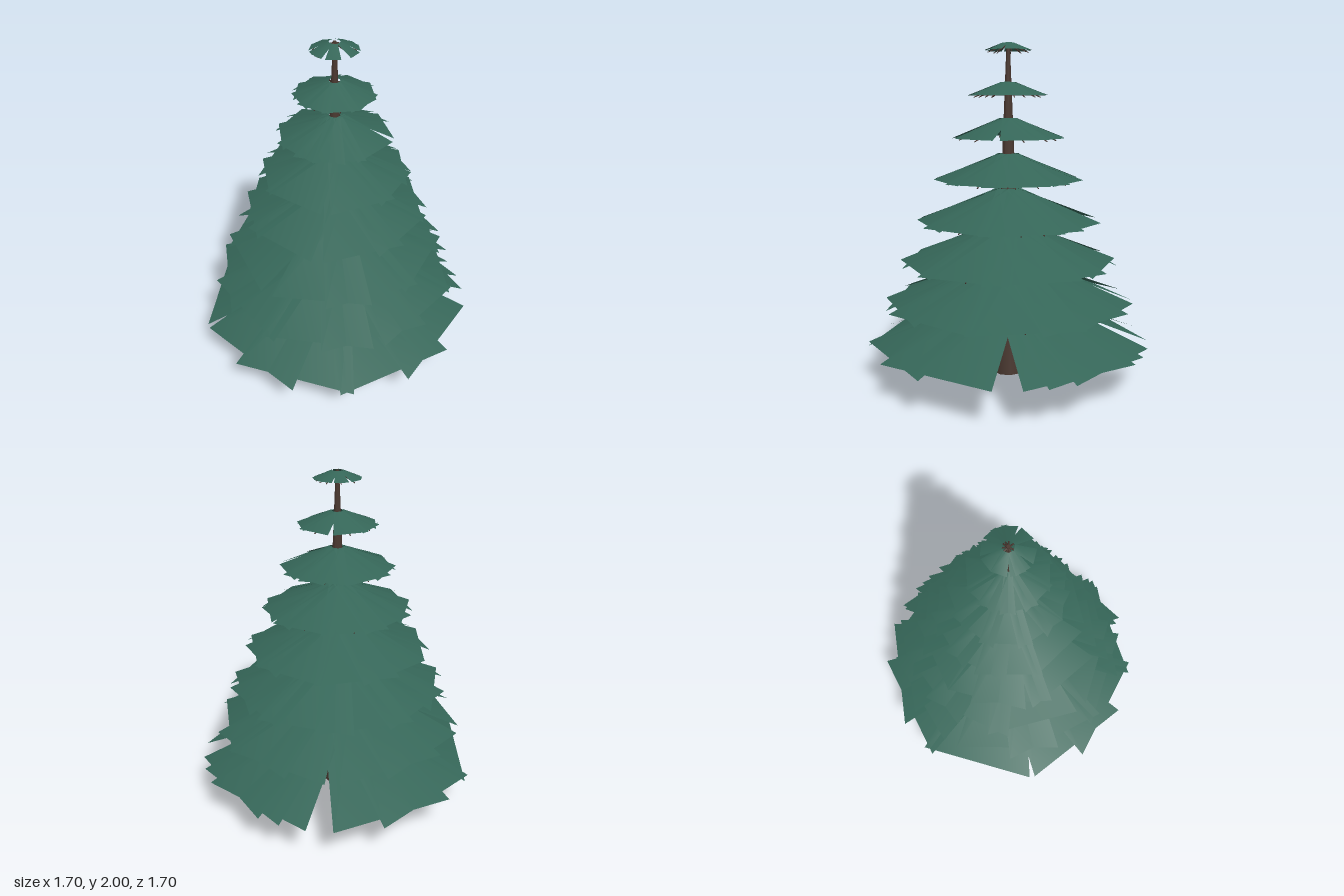
import * as THREE from 'three';

const DEG = Math.PI / 180;

// Tiers from bottom to top: rim height, corner radius, direction of the gap between fronds
const TIERS = [
  { y: 0.21, r: 0.853, angles: [-158.5, -112, -93, -31.5, -21, -12, 50, 78, 124, 148] },
  { y: 0.455, r: 0.757, gap: 215 },
  { y: 0.70, r: 0.66, gap: 142 },
  { y: 0.945, r: 0.557, gap: 116 },
  { y: 1.195, r: 0.448, gap: 112 },
  { y: 1.445, r: 0.34, gap: 30 },
  { y: 1.695, r: 0.238, gap: 300 },
  { y: 1.955, r: 0.14, gap: 80, narrow: true },
];
const FRONDS = 10;
const SLOPE = 0.42;
const INNER = 0.03;

// Small repeatable random numbers in -1..1
let seed = 7;
function jitter() {
  seed = (seed * 16807) % 2147483647;
  return (seed / 2147483647) * 2 - 1;
}

function tierAngles(tier) {
  if (tier.angles) return tier.angles;
  const list = [];
  for (let i = 0; i < FRONDS; i++) {
    const inside = i > 0 && i < FRONDS - 1;
    list.push(tier.gap + 29 + (302 / (FRONDS - 1)) * i + (inside ? jitter() * 13 : 0));
  }
  return list;
}

// Ring of flat, sloping, overlapping trapezoids with softly rounded normals
function frondRing(tier, angles) {
  const position = [], normal = [], index = [];
  const outer = tier.r * (tier.narrow ? 0.95 : 0.902);
  const outerHalf = tier.r * (tier.narrow ? 0.3 : 0.432);
  const innerHalf = tier.r * 0.13;
  const top = tier.y + SLOPE * (outer - INNER);
  angles.forEach((deg, i) => {
    const a = deg * DEG, c = Math.cos(a), s = Math.sin(a);
    const corners = [
      [INNER, top, -innerHalf], [INNER, top, innerHalf],
      [outer, tier.y, outerHalf], [outer, tier.y, -outerHalf],
    ];
    for (const [d, y, w] of corners) {
      position.push(c * d - s * w, y, s * d + c * w);
      const na = a + Math.sign(w) * 25 * DEG;
      const n = new THREE.Vector3(Math.cos(na) * SLOPE, 1, Math.sin(na) * SLOPE).normalize();
      normal.push(n.x, n.y, n.z);
    }
    const k = i * 4;
    index.push(k, k + 1, k + 2, k, k + 2, k + 3);
  });
  const geometry = new THREE.BufferGeometry();
  geometry.setAttribute('position', new THREE.Float32BufferAttribute(position, 3));
  geometry.setAttribute('normal', new THREE.Float32BufferAttribute(normal, 3));
  geometry.setIndex(index);
  return geometry;
}

// Tapered stick between two points
function stick(from, to, r0, r1, material) {
  const dir = to.clone().sub(from);
  const mesh = new THREE.Mesh(new THREE.CylinderGeometry(r1, r0, dir.length(), 5), material);
  mesh.position.copy(from).add(to).multiplyScalar(0.5);
  mesh.quaternion.setFromUnitVectors(new THREE.Vector3(0, 1, 0), dir.normalize());
  return mesh;
}

export function createModel() {
  const needles = new THREE.MeshStandardMaterial({ color: 0x356658, side: THREE.DoubleSide });
  needles.name = 'needle green';
  const bark = new THREE.MeshStandardMaterial({ color: 0x4a3830 });
  bark.name = 'bark brown';

  const tree = new THREE.Group();
  tree.name = 'pineTree';

  // Trunk
  const trunk = new THREE.Mesh(new THREE.CylinderGeometry(0.01, 0.093, 2, 9), bark);
  trunk.name = 'trunk';
  trunk.position.y = 1;
  tree.add(trunk);

  TIERS.forEach((tier, t) => {
    const group = new THREE.Group();
    group.name = `tier${t + 1}`;
    const angles = tierAngles(tier);

    const fronds = new THREE.Mesh(frondRing(tier, angles), needles);
    fronds.name = 'fronds';
    group.add(fronds);

    // One branch under each frond
    const end = tier.r * 0.86;
    const startY = tier.y - 0.012 + SLOPE * end * 0.95;
    const thick = 0.004 + tier.r * 0.007;
    for (const deg of angles) {
      const c = Math.cos(deg * DEG), s = Math.sin(deg * DEG);
      const branch = stick(
        new THREE.Vector3(0, startY, 0),
        new THREE.Vector3(c * end, tier.y - 0.012, s * end),
        thick, thick * 0.5, bark);
      branch.name = 'branch';
      group.add(branch);
    }
    tree.add(group);
  });

  return tree;
}
